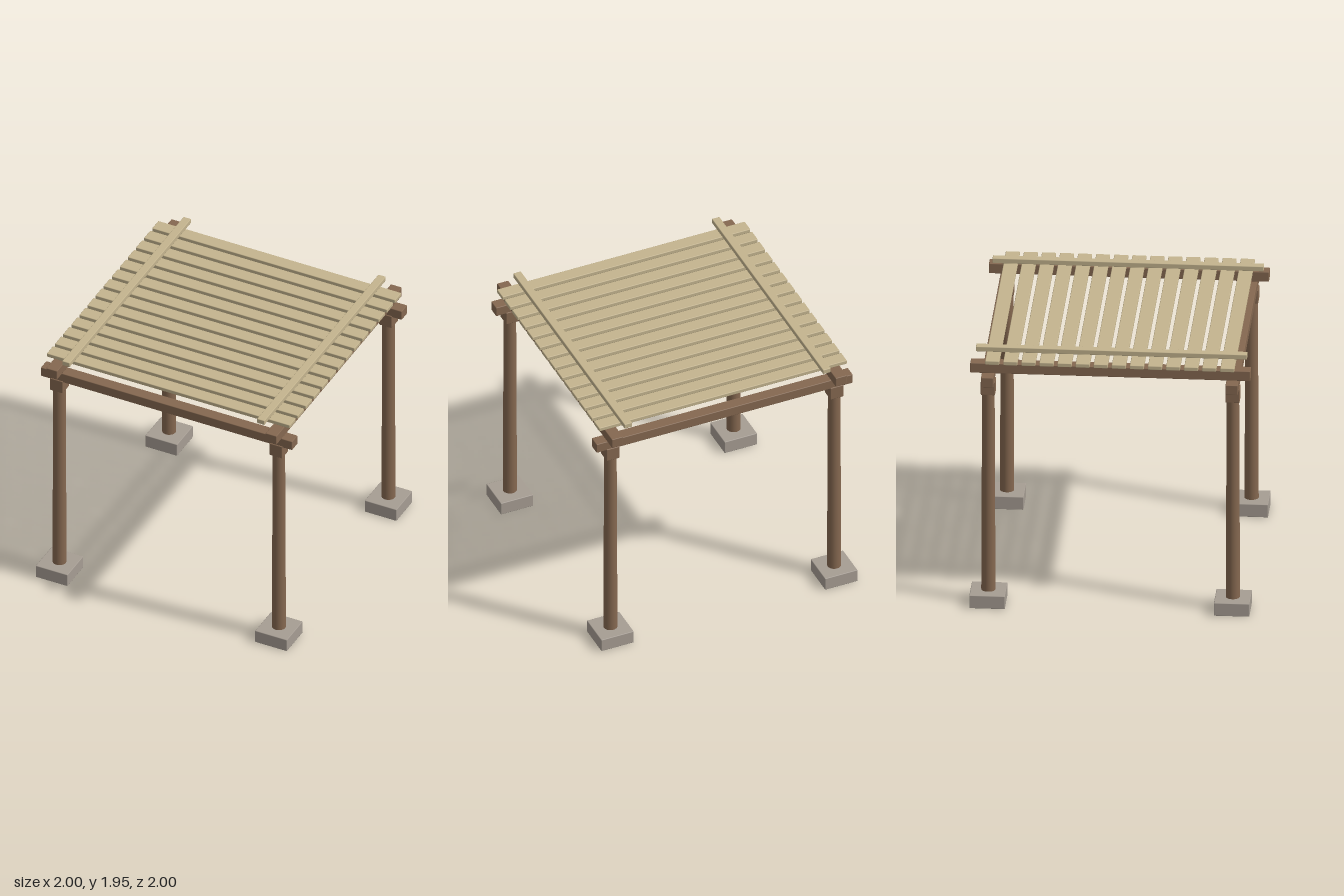
import * as THREE from 'three';
import { RoundedBoxGeometry } from 'three/addons/geometries/RoundedBoxGeometry.js';

export function createModel() {
  const model = new THREE.Group();
  model.name = 'pergola';

  const material = (name, color) => {
    const m = new THREE.MeshStandardMaterial({ color });
    m.name = name;
    return m;
  };
  const wood = material('brown timber', 0x856850);
  const lath = material('pale bamboo', 0xc4b48e);
  const stone = material('grey stone', 0xa69d93);

  const add = (name, geometry, mat, x, y, z) => {
    const mesh = new THREE.Mesh(geometry, mat);
    mesh.name = name;
    mesh.position.set(x, y, z);
    model.add(mesh);
  };
  // Softened box placed by its bottom height
  const box = (name, mat, w, h, d, x, bottom, z) =>
    add(name, new RoundedBoxGeometry(w, h, d, 1, 0.005), mat, x, bottom + h / 2, z);

  const inset = 0.873; // distance of the post axes from the centre

  // Four corners: footing, tapered round post, square cap
  for (const sx of [-1, 1]) {
    for (const sz of [-1, 1]) {
      const x = sx * inset, z = sz * inset;
      box('footing', stone, 0.254, 0.1, 0.254, x, 0, z);
      add('post', new THREE.CylinderGeometry(0.045, 0.051, 1.54, 20), wood, x, 0.87, z);
      box('postCap', wood, 0.102, 0.103, 0.102, x, 1.63, z);
    }
  }

  // Crossed beams: lower pair along x, upper pair along z
  for (const s of [-1, 1]) {
    box('lowerBeam', wood, 2, 0.075, 0.088, 0, 1.724, s * inset);
    box('upperBeam', wood, 0.088, 0.076, 2, s * inset, 1.799, 0);
  }

  // Roof slats
  const count = 14;
  for (let i = 0; i < count; i++) {
    const z = -0.839 + (i * 1.678) / (count - 1);
    box('roofSlat', lath, 1.934, 0.03, 0.1, 0, 1.886, z);
  }

  // Hold-down battens over the slats
  for (const s of [-1, 1]) {
    box('batten', lath, 0.06, 0.038, 1.936, s * 0.775, 1.916, 0);
  }

  return model;
}
